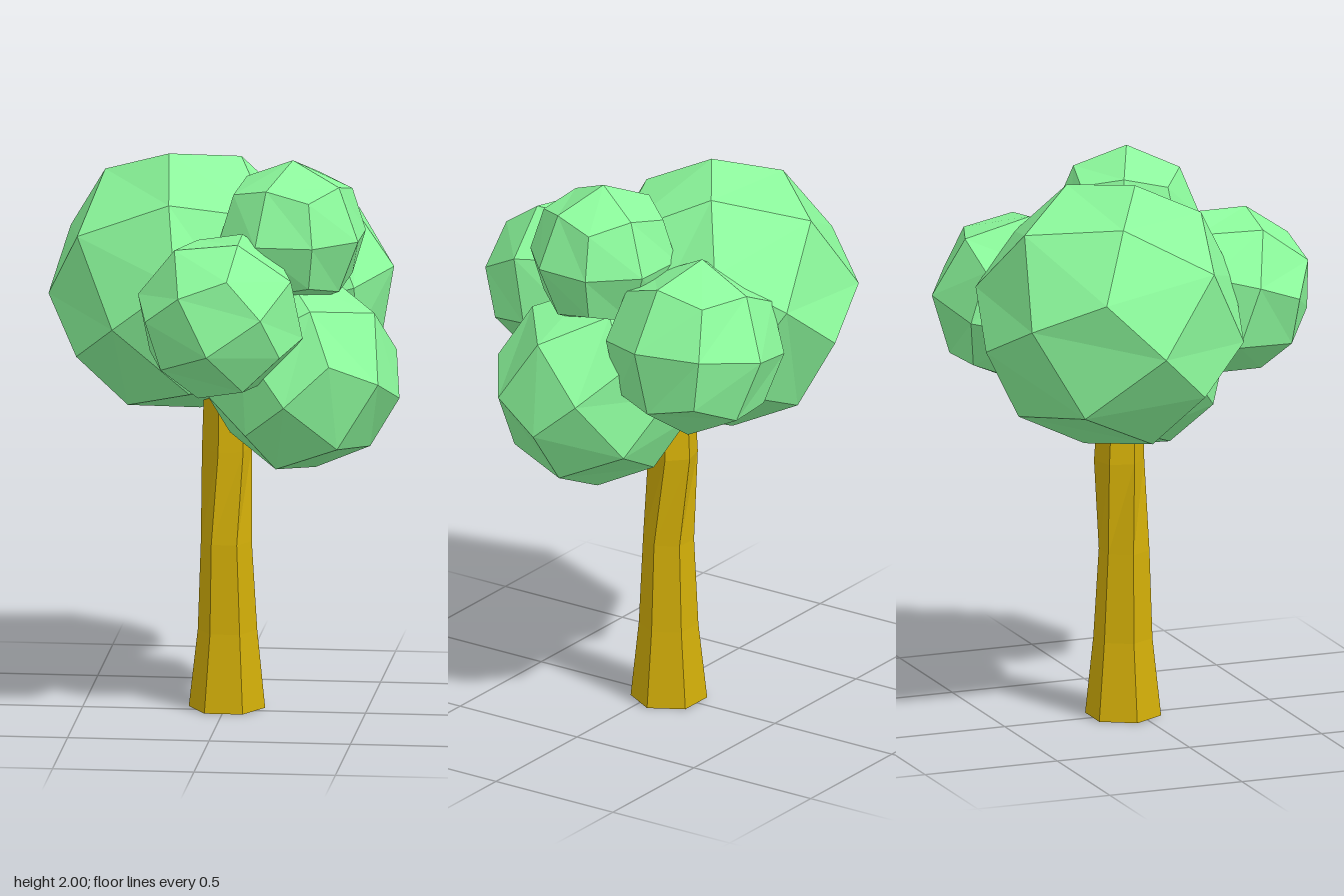
import * as THREE from 'three';

const leafMaterial = new THREE.MeshStandardMaterial({ color: 0x8cfa9c, flatShading: true });
const barkMaterial = new THREE.MeshStandardMaterial({ color: 0xd2ae08, flatShading: true });

// Faceted ball: a 2x2x2 box pushed out to a sphere, turned to the cube axes a and b
function leafBall(name, center, radius, a, b) {
  const geometry = new THREE.BoxGeometry(2, 2, 2, 2, 2, 2);
  const p = geometry.attributes.position;
  const v = new THREE.Vector3();
  for (let i = 0; i < p.count; i++) {
    v.fromBufferAttribute(p, i).setLength(radius);
    p.setXYZ(i, v.x, v.y, v.z);
  }
  const u = new THREE.Vector3(...a).normalize();
  const w = new THREE.Vector3(...b);
  w.addScaledVector(u, -w.dot(u)).normalize();
  const n = new THREE.Vector3().crossVectors(u, w);
  geometry.applyMatrix4(new THREE.Matrix4().makeBasis(u, w, n));
  geometry.computeVertexNormals();
  const mesh = new THREE.Mesh(geometry, leafMaterial);
  mesh.name = name;
  mesh.position.set(...center);
  return mesh;
}

// Six-sided trunk with rings that taper, lean and twist: [y, radius, x, z, twist]
function makeTrunk() {
  const rings = [
    [0, 0.135, 0.005, -0.05, 0],
    [0.28, 0.105, 0.007, -0.05, 0],
    [0.6, 0.09, 0.003, -0.047, 0],
    [0.93, 0.089, 0.003, -0.066, 0.28],
    [1.25, 0.075, 0, -0.06, 0.28],
  ];
  const geometry = new THREE.CylinderGeometry(1, 1, 1, 6, rings.length - 1, false, Math.PI / 2);
  const p = geometry.attributes.position;
  const v = new THREE.Vector3();
  const up = new THREE.Vector3(0, 1, 0);
  for (let i = 0; i < p.count; i++) {
    const [y, r, x, z, twist] = rings[Math.round((p.getY(i) + 0.5) * (rings.length - 1))];
    v.fromBufferAttribute(p, i).applyAxisAngle(up, twist);
    p.setXYZ(i, x + r * v.x, y, z + r * v.z);
  }
  geometry.computeVertexNormals();
  const mesh = new THREE.Mesh(geometry, barkMaterial);
  mesh.name = 'trunk';
  return mesh;
}

export function createModel() {
  const tree = new THREE.Group();
  tree.name = 'tree';
  tree.add(makeTrunk());

  // Crown of five overlapping balls
  const crown = new THREE.Group();
  crown.name = 'crown';
  crown.add(
    leafBall('largeFoliage', [-0.157, 1.507, -0.165], 0.482, [-0.11, 0.69, -0.71], [-0.73, 0.45, 0.5]),
    leafBall('frontFoliage', [0.025, 1.5, 0.36], 0.3, [-0.52, 0.83, 0.22], [0.96, 0.44, 0.2]),
    leafBall('lowerFoliage', [0.285, 1.24, 0.08], 0.355, [0.74, 0.66, 0.16], [0.54, -0.41, -0.73]),
    leafBall('topFoliage', [0.25, 1.735, 0.06], 0.265, [0, 1, 0], [0.41, 0, -0.91]),
    leafBall('backFoliage', [0.265, 1.483, -0.342], 0.315, [0.96, 0.2, 0.15], [-0.2, 0.97, 0.05]),
  );
  tree.add(crown);
  return tree;
}
